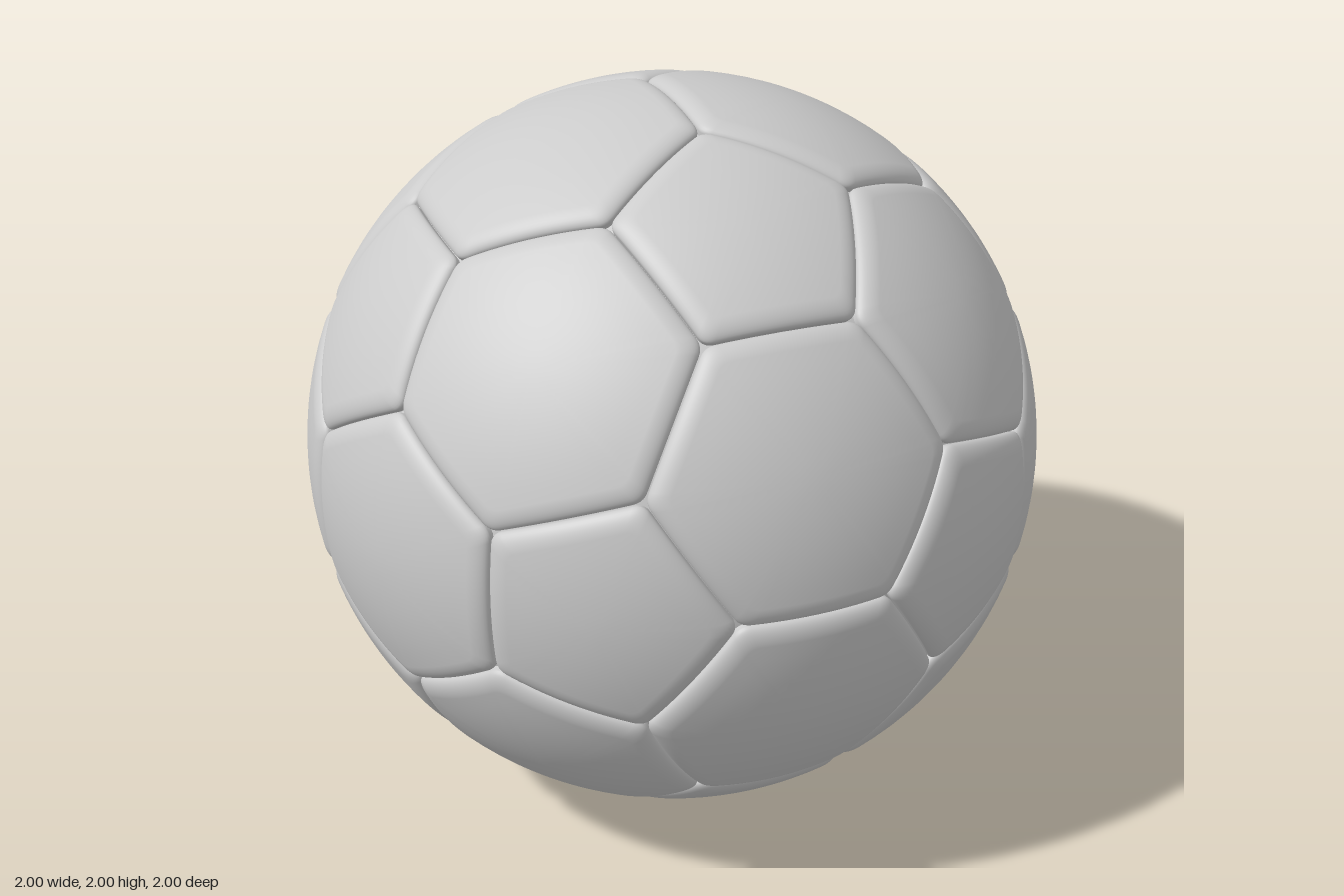
import * as THREE from 'three';

const R = 1.002;          // outer radius of the panels
const ROLL_WIDTH = 0.06;  // width of the rounded panel border
const ROLL_DEPTH = 0.025; // how far the border rolls down into the seam
const CORNER = 0.03;      // corner rounding

// The 12 icosahedron corners: centres of the pentagon panels
function pentagonCentres() {
  const phi = (1 + Math.sqrt(5)) / 2, out = [];
  for (const a of [1, -1]) for (const b of [phi, -phi]) {
    out.push(new THREE.Vector3(a, 0, b), new THREE.Vector3(b, a, 0), new THREE.Vector3(0, b, a));
  }
  return out.map(v => v.normalize());
}

// Flat outline with rounded corners, as [x, y] offsets in the panel's tangent plane
function roundedOutline(corners) {
  const n = corners.length, points = [];
  for (let i = 0; i < n; i++) {
    const p = corners[i], prev = corners[(i + n - 1) % n], next = corners[(i + 1) % n];
    const toward = (q, d) => p.clone().add(q.clone().sub(p).setLength(d));
    const start = toward(prev, CORNER), end = toward(next, CORNER);
    points.push(...new THREE.QuadraticBezierCurve(start, p, end).getPoints(5));
    const far = next.clone().add(p.clone().sub(next).setLength(CORNER));
    for (let k = 1; k < 10; k++) points.push(end.clone().lerp(far, k / 10));
  }
  return points;
}

// One padded panel: rings run from the seam wall, over the rolled border, to the centre
function panelGeometry(centre, corners3) {
  const up = Math.abs(centre.y) > 0.9 ? new THREE.Vector3(1, 0, 0) : new THREE.Vector3(0, 1, 0);
  const u = up.cross(centre).normalize();
  const v = centre.clone().cross(u);
  const corners = corners3
    .map(p => new THREE.Vector2(p.dot(u), p.dot(v)).divideScalar(p.dot(centre)))
    .sort((a, b) => a.angle() - b.angle());
  const apothem = corners[0].clone().add(corners[1]).length() / 2;
  const outline = roundedOutline(corners);

  const rings = [[0.002, 0.94]];
  for (let i = 0; i <= 9; i++) {
    const a = (i / 9) * Math.PI / 2;
    rings.push([0.002 + ROLL_WIDTH * (1 - Math.cos(a)), R - ROLL_DEPTH * (1 - Math.sin(a))]);
  }
  for (let i = 1; i < 7; i++) {
    rings.push([THREE.MathUtils.lerp(ROLL_WIDTH + 0.002, apothem, i / 7), R]);
  }

  const positions = [], index = [], n = outline.length;
  for (const [inset, radius] of rings) {
    const s = 1 - inset / apothem;
    for (const p of outline) {
      const dir = centre.clone().addScaledVector(u, p.x * s).addScaledVector(v, p.y * s);
      positions.push(...dir.setLength(radius).toArray());
    }
  }
  positions.push(...centre.clone().multiplyScalar(R).toArray());
  const last = rings.length - 1, tip = rings.length * n;
  for (let j = 0; j < n; j++) {
    const k = (j + 1) % n;
    for (let i = 0; i < last; i++) {
      const a = i * n + j, b = i * n + k;
      index.push(a, b, b + n, a, b + n, a + n);
    }
    index.push(last * n + j, last * n + k, tip);
  }
  const geometry = new THREE.BufferGeometry();
  geometry.setAttribute('position', new THREE.Float32BufferAttribute(positions, 3));
  geometry.setIndex(index);
  geometry.computeVertexNormals();
  return geometry;
}

export function createModel() {
  const ball = new THREE.Group();
  ball.name = 'ball';
  const material = new THREE.MeshStandardMaterial({ color: 0xcccccc });

  const pents = pentagonCentres();
  const adjacent = (a, b) => a !== b && a.dot(b) > 0.4;

  // Seam corners: each icosahedron edge cut at its thirds
  const seamCorners = [];
  for (const a of pents) for (const b of pents) {
    if (adjacent(a, b)) seamCorners.push(a.clone().multiplyScalar(2).add(b).normalize());
  }

  // Hexagon centres: middles of the icosahedron triangles
  const hexes = [];
  pents.forEach((a, i) => pents.forEach((b, j) => pents.forEach((c, k) => {
    if (i < j && j < k && adjacent(a, b) && adjacent(b, c) && adjacent(a, c)) {
      hexes.push(a.clone().add(b).add(c).normalize());
    }
  })));

  // Panels
  const addPanels = (centres, sides, name) => centres.forEach((centre, i) => {
    const nearest = [...seamCorners].sort((a, b) => b.dot(centre) - a.dot(centre)).slice(0, sides);
    const panel = new THREE.Mesh(panelGeometry(centre, nearest), material);
    panel.name = `${name}${i + 1}`;
    ball.add(panel);
  });
  addPanels(pents, 5, 'pentagonPanel');
  addPanels(hexes, 6, 'hexagonPanel');

  // Inner bladder, closing the seams
  const bladder = new THREE.Mesh(new THREE.SphereGeometry(0.965, 64, 40), material);
  bladder.name = 'bladder';
  ball.add(bladder);

  ball.position.y = 1;
  const model = new THREE.Group();
  model.name = 'panelledBall';
  model.add(ball);
  return model;
}
